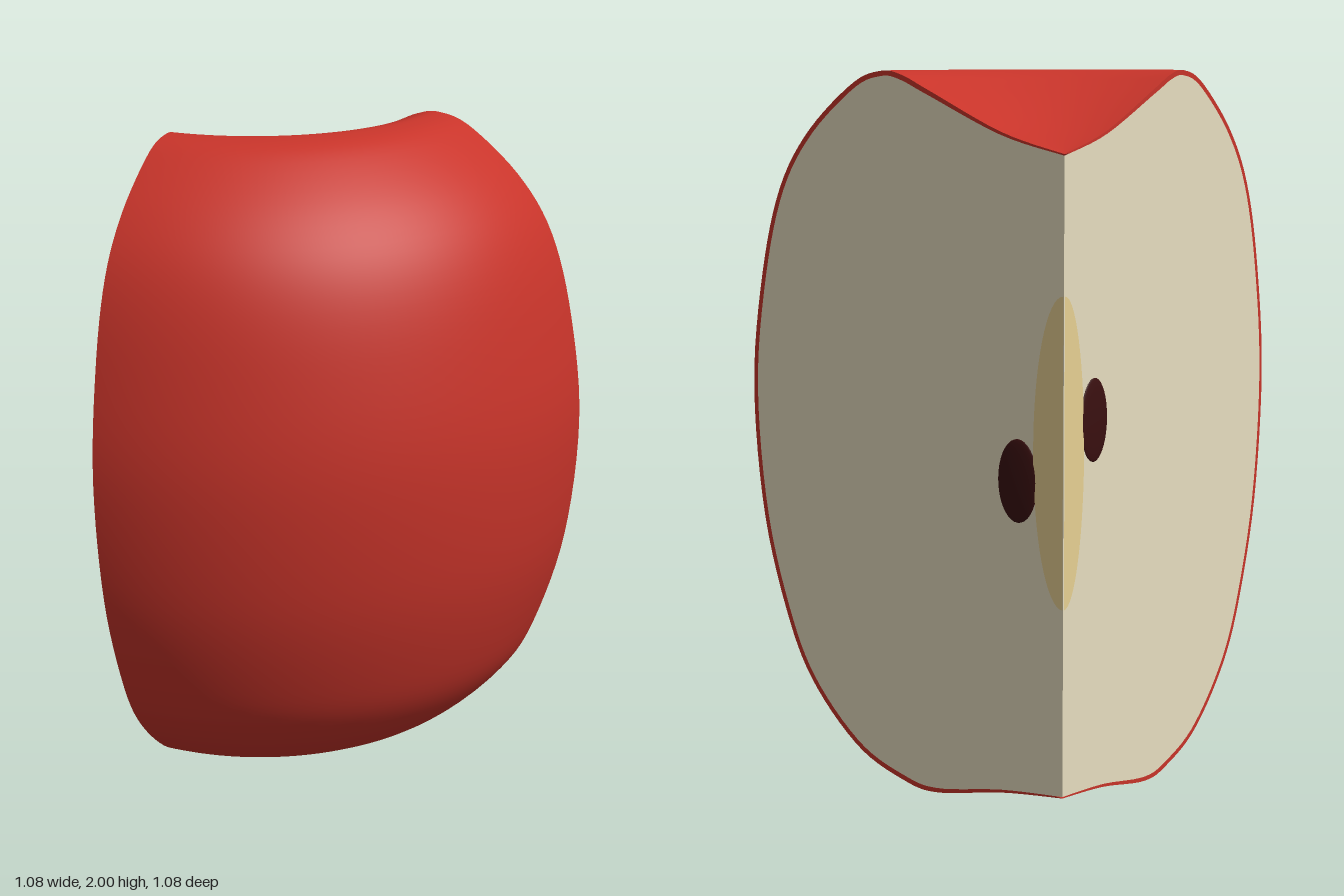
import * as THREE from 'three';

const material = (name, color, side = THREE.FrontSide) =>
  Object.assign(new THREE.MeshStandardMaterial({ color, side }), { name });

const AXIS = -0.533; // the core line lies at x = z = AXIS

export function createModel() {
  const skinMat = material('red skin', 0xc8342a, THREE.DoubleSide);
  const fleshMat = material('cream flesh', 0xfaf0d0);
  const coreMat = material('golden core', 0xf0d898);
  const seedMat = material('dark brown seed', 0x3a1010);

  const apple = new THREE.Group();
  apple.name = 'appleQuarter';
  apple.position.set(AXIS, 0, AXIS);

  const add = (parent, name, geometry, mat) => {
    const mesh = new THREE.Mesh(geometry, mat);
    mesh.name = name;
    parent.add(mesh);
    return mesh;
  };

  // Half profile from the bottom dimple round to the stem hollow
  const curve = new THREE.SplineCurve([
    [0, 0.06], [0.2, 0.04], [0.42, 0], [0.54, 0.015], [0.70, 0.085], [0.86, 0.245],
    [0.955, 0.43], [1.04, 0.73], [1.072, 1.1], [1.035, 1.42], [0.967, 1.665],
    [0.86, 1.83], [0.70, 1.965], [0.60, 2], [0.53, 1.99], [0.44, 1.95],
    [0.2, 1.843], [0, 1.79],
  ].map(([r, y]) => new THREE.Vector2(r, y)));

  const outer = [], inner = [];
  const STEPS = 100;
  for (let i = 0; i <= STEPS; i++) {
    const p = curve.getPoint(i / STEPS), t = curve.getTangent(i / STEPS);
    const thickness = Math.min(0.014, 0.004 + 0.02 * p.x);
    p.x = Math.max(0, p.x);
    outer.push(p);
    const onAxis = i === 0 || i === STEPS;
    inner.push(new THREE.Vector2(
      onAxis ? 0 : Math.max(0, p.x - t.y * thickness), p.y + t.x * thickness));
  }

  // Curved outside, a quarter turn
  add(apple, 'skin', new THREE.LatheGeometry(outer, 48, 0, Math.PI / 2), skinMat);

  // One flat cut side; dir says whether the outside lies to its right or left
  const cutSide = (name, dir, turn, seedY) => {
    const side = new THREE.Group();
    side.name = name;
    side.rotation.y = turn;
    apple.add(side);
    const flat = (pts) => new THREE.ShapeGeometry(
      new THREE.Shape(pts.map((p) => new THREE.Vector2(p.x * dir, p.y))));

    add(side, 'fleshFace', flat(inner), fleshMat);
    add(side, 'skinRim', flat([...outer, ...inner.slice(1, -1).reverse()]), skinMat);

    // Half of a slender oval along the core line
    const oval = [];
    for (let i = 0; i <= 32; i++) {
      const a = -Math.PI / 2 + (Math.PI * i) / 32;
      oval.push(new THREE.Vector2(0.095 * Math.cos(a), 1 + 0.42 * Math.sin(a)));
    }
    add(side, 'core', flat(oval), coreMat).position.z = 0.003;

    // Seed set into the flesh
    const seed = add(side, 'seed', new THREE.SphereGeometry(1, 28, 18), seedMat);
    seed.scale.set(0.064, 0.114, 0.008);
    seed.position.set(0.147 * dir, seedY, 0);
  };
  cutSide('rightCut', 1, -Math.PI / 2, 1.075);
  cutSide('backCut', -1, Math.PI, 0.915);

  const model = new THREE.Group();
  model.name = 'model';
  model.add(apple);
  return model;
}
